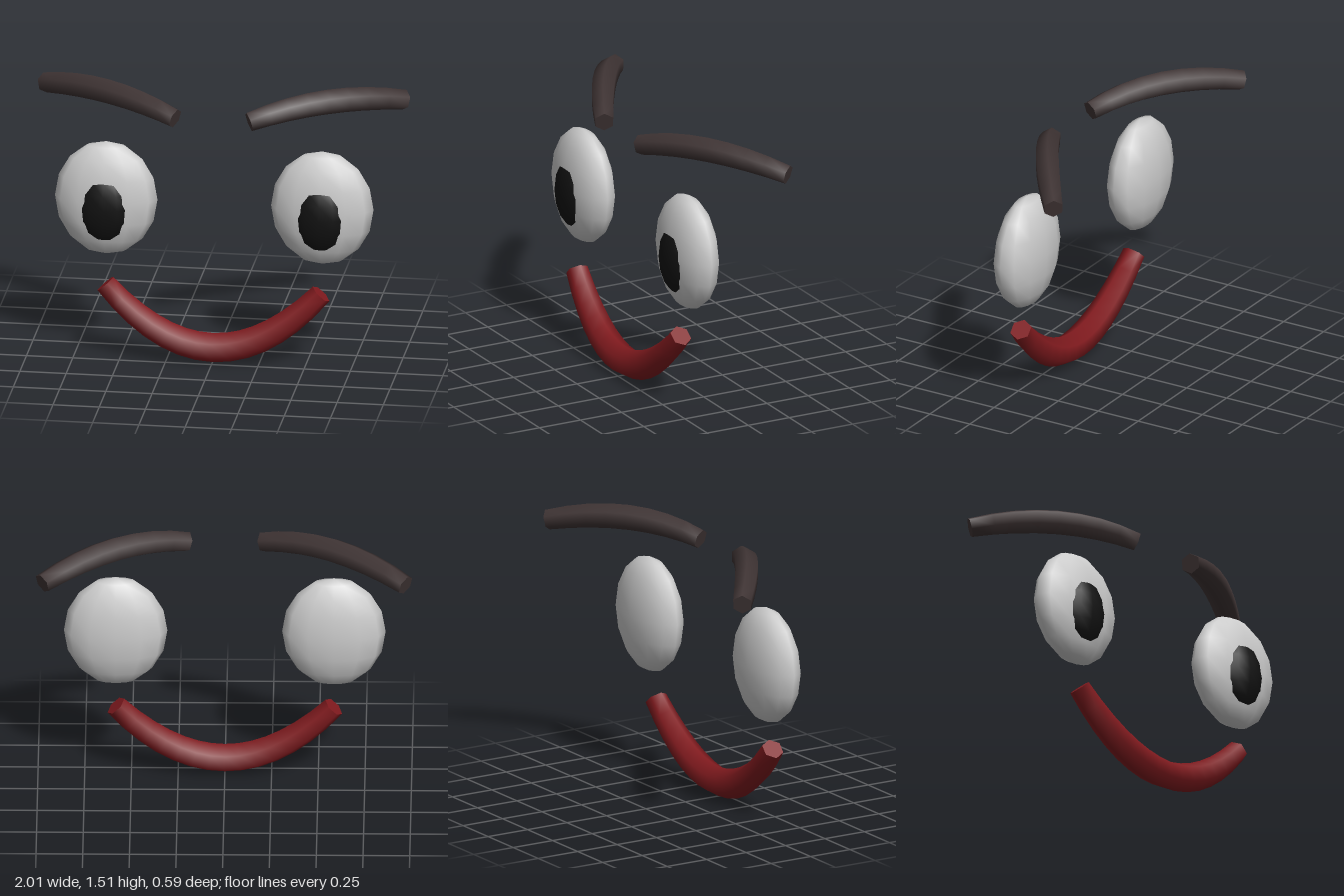
import * as THREE from 'three';
import { toCreasedNormals } from 'three/addons/utils/BufferGeometryUtils.js';

const V = (x, y, z) => new THREE.Vector3(x, y, z);
const mat = (color) => new THREE.MeshStandardMaterial({ color });

// Six-sided capped bar bent along a curve, thickest in the middle
function bentBar(curve, rMid, rEnd, segments) {
  const geo = new THREE.CylinderGeometry(1, 1, 1, 6, segments);
  const pos = geo.attributes.position;
  const up = V(0, 1, 0);
  for (let i = 0; i < pos.count; i++) {
    const t = THREE.MathUtils.clamp(pos.getY(i) + 0.5, 0, 1);
    const tangent = curve.getTangent(t);
    const side = V().crossVectors(tangent, up).normalize();
    const normal = V().crossVectors(side, tangent);
    const r = rMid + (rEnd - rMid) * (2 * t - 1) ** 2;
    const p = curve.getPoint(t)
      .addScaledVector(side, pos.getX(i) * r)
      .addScaledVector(normal, pos.getZ(i) * r);
    pos.setXYZ(i, p.x, p.y, p.z);
  }
  return toCreasedNormals(geo, 1.2);
}

// Low-poly ellipsoid with smooth normals
function ellipsoid(rx, ry, rz) {
  return new THREE.SphereGeometry(1, 12, 8).scale(rx, ry, rz);
}

export function createModel() {
  const model = new THREE.Group();
  const white = mat(0xcccccc);
  const black = mat(0x111111);
  const brown = mat(0x403535);
  const red = mat(0x801a1e);

  const add = (name, geometry, material, x = 0, y = 0, z = 0) => {
    const mesh = new THREE.Mesh(geometry, material);
    mesh.name = name;
    mesh.position.set(x, y, z);
    model.add(mesh);
  };

  for (const [label, s] of [['left', 1], ['right', -1]]) {
    // Flattened eyeball with a pupil pushing through its front
    add(label + 'Eye', ellipsoid(0.277, 0.319, 0.127), white, s * 0.584, 0.89, 0.145);
    add(label + 'Pupil', ellipsoid(0.155, 0.202, 0.09), black, s * 0.584, 0.859, 0.2);

    // Arched eyebrow sweeping back at its outer end
    const brow = new THREE.QuadraticBezierCurve3(
      V(s * 0.2, 1.385, 0.225), V(s * 0.585, 1.505, 0.05), V(s * 0.972, 1.38, -0.257));
    add(label + 'Eyebrow', bentBar(brow, 0.07, 0.055, 8), brown);
  }

  // Smiling mouth
  const smile = new THREE.QuadraticBezierCurve3(
    V(-0.583, 0.413, 0.184), V(0, -0.237, 0.238), V(0.583, 0.413, 0.184));
  add('mouth', bentBar(smile, 0.083, 0.06, 14), red);

  return model;
}
